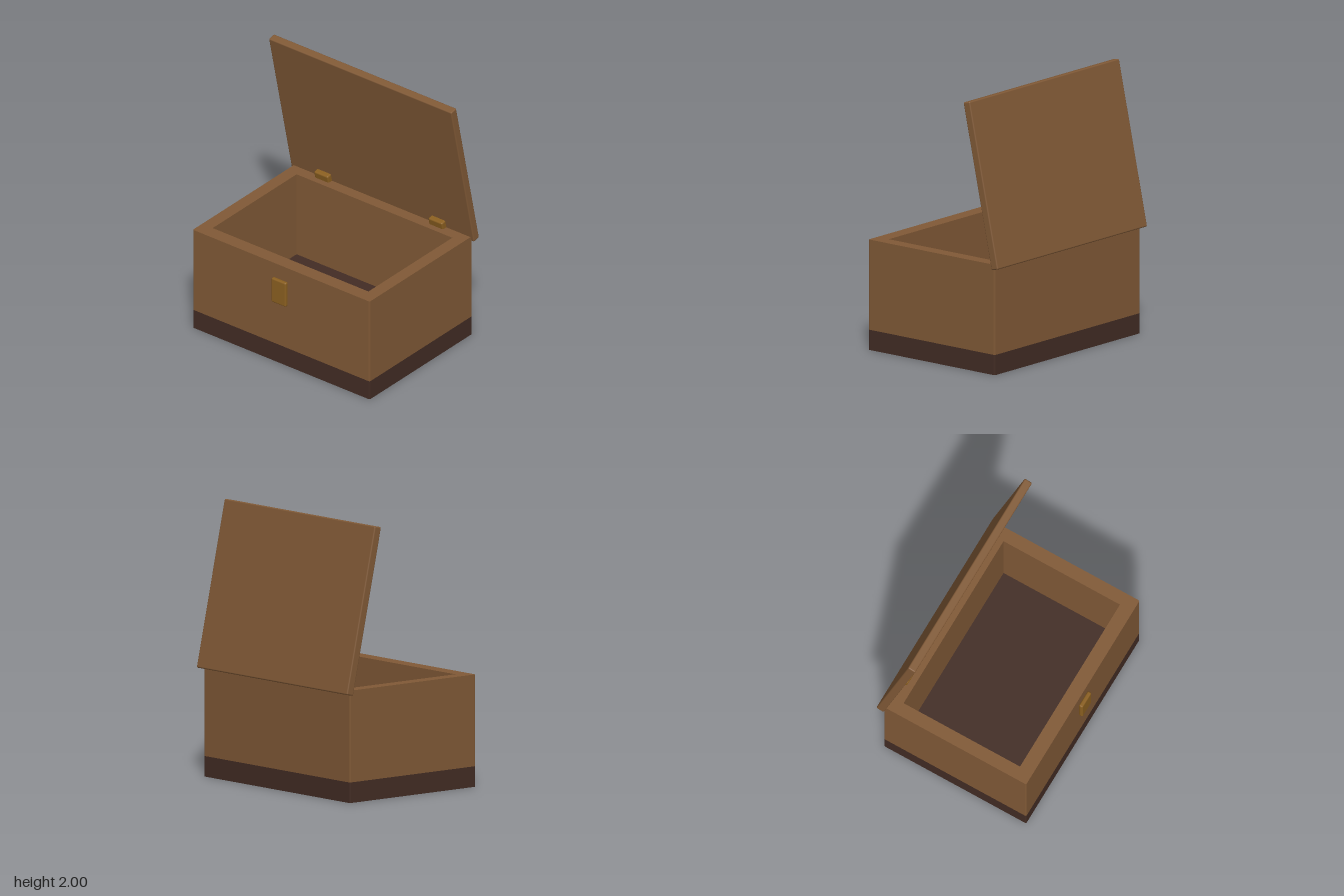
import * as THREE from 'three';
import { RoundedBoxGeometry } from 'three/addons/geometries/RoundedBoxGeometry.js';

const W = 0.815, BACK = -0.585, FRONT = 0.6; // chest footprint
const BASE_TOP = 0.15, RIM = 0.82;

// Rectangle with slightly eased corners, centred on the origin
function easedRect(w, d, r) {
  const s = new THREE.Shape(), x = w / 2, y = d / 2;
  s.moveTo(-x + r, -y);
  s.lineTo(x - r, -y).quadraticCurveTo(x, -y, x, -y + r);
  s.lineTo(x, y - r).quadraticCurveTo(x, y, x - r, y);
  s.lineTo(-x + r, y).quadraticCurveTo(-x, y, -x, y - r);
  s.lineTo(-x, -y + r).quadraticCurveTo(-x, -y, -x + r, -y);
  return s;
}

// Extrude a footprint upward from y0 to y1
function upright(shape, y0, y1) {
  return new THREE.ExtrudeGeometry(shape, { depth: y1 - y0, bevelEnabled: false, curveSegments: 2 })
    .rotateX(-Math.PI / 2)
    .translate(0, y0, (FRONT + BACK) / 2);
}

export function createModel() {
  const group = new THREE.Group();
  const wood = new THREE.MeshStandardMaterial({ color: 0x805936 });
  wood.name = 'wood';
  const darkWood = new THREE.MeshStandardMaterial({ color: 0x422c24 });
  darkWood.name = 'darkWood';
  const brass = new THREE.MeshStandardMaterial({ color: 0x8a5f20 });
  brass.name = 'brass';

  const add = (parent, name, geometry, material, x = 0, y = 0, z = 0) => {
    const mesh = new THREE.Mesh(geometry, material);
    mesh.name = name;
    mesh.position.set(x, y, z);
    parent.add(mesh);
    return mesh;
  };

  // Base slab, whose top is the floor of the chest
  const depth = FRONT - BACK;
  add(group, 'base', upright(easedRect(2 * W, depth, 0.01), 0, BASE_TOP), darkWood);

  // Four walls as one hollow frame
  const frame = easedRect(2 * W, depth, 0.01);
  const hollow = new THREE.Path();
  const hx = 0.718, hz = 0.485;
  hollow.moveTo(-hx, -hz).lineTo(-hx, hz).lineTo(hx, hz).lineTo(hx, -hz).lineTo(-hx, -hz);
  frame.holes.push(hollow);
  add(group, 'walls', upright(frame, BASE_TOP, RIM), wood);

  // Open lid, leaning forward over the chest
  const tilt = 0.2164;
  const lid = add(group, 'lid', new RoundedBoxGeometry(1.684, 1.234, 0.062, 2, 0.01), wood, 0, 1.393, -0.472);
  lid.rotation.x = tilt;

  // Hinges on the inner face of the lid
  for (const side of [-1, 1]) {
    const hinge = add(group, side > 0 ? 'leftHinge' : 'rightHinge',
      new RoundedBoxGeometry(0.13, 0.1, 0.06, 2, 0.012), brass, side * 0.527, 0.83, -0.555);
    hinge.rotation.x = tilt;
  }

  // Latch plate on the front
  add(group, 'latch', new RoundedBoxGeometry(0.134, 0.2, 0.032, 2, 0.012), brass, 0, 0.61, 0.619);

  return group;
}
